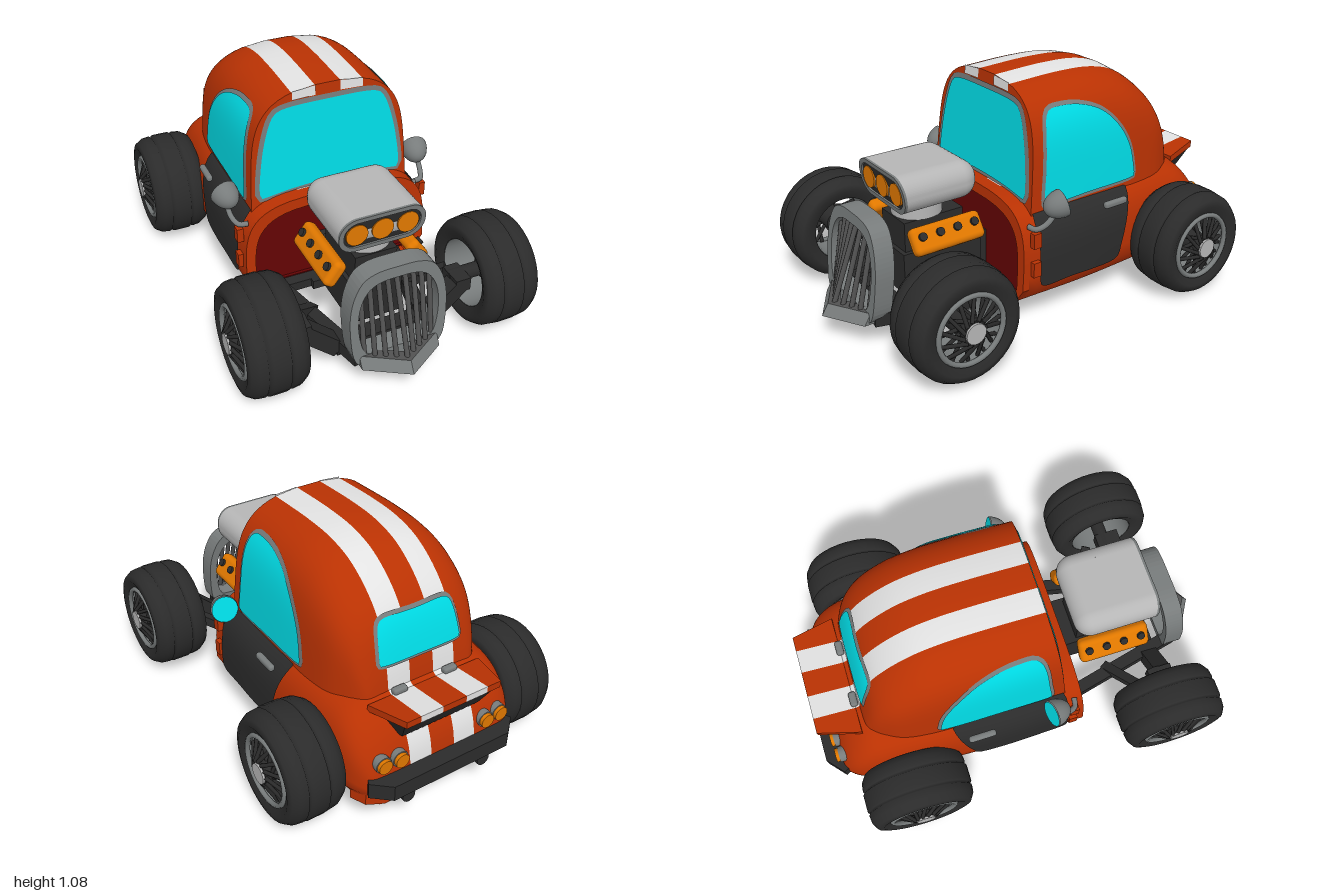
import * as THREE from 'three';
import { RoundedBoxGeometry } from 'three/addons/geometries/RoundedBoxGeometry.js';

const V = (x, y, z) => new THREE.Vector3(x, y, z);
const mat = (name, color, two) => {
  const m = new THREE.MeshStandardMaterial({ color });
  m.name = name;
  if (two) m.side = THREE.DoubleSide;
  return m;
};

export function createModel() {
  const M = {
    paint: mat('orange paint', 0xba3203, true), white: mat('white stripe', 0xe2e2e2, true),
    glass: mat('cyan glass', 0x00dce6, true), black: mat('black', 0x2b2b2b, true),
    red: mat('dark red', 0x640404, true), grey: mat('grey metal', 0x787c7c, true),
    light: mat('light metal', 0xb6b6b6), amber: mat('amber', 0xe07800), dark: mat('dark metal', 0x525252),
  };
  const car = new THREE.Group();
  car.name = 'hotRod';
  const add = (name, geo, m, parent = car) => {
    const mesh = new THREE.Mesh(geo, m);
    mesh.name = name;
    parent.add(mesh);
    return mesh;
  };
  const box = (name, x, y, z, w, h, d, m) => add(name, new THREE.BoxGeometry(w, h, d), m).position.set(x, y, z);
  const rod = (name, a, b, r, m, parent, sides = 8) => {
    const mesh = add(name, new THREE.CylinderGeometry(r, r, a.distanceTo(b), sides), m, parent);
    mesh.position.copy(a).lerp(b, 0.5);
    mesh.quaternion.setFromUnitVectors(V(0, 1, 0), b.clone().sub(a).normalize());
  };
  const beam = (name, a, b, w, h, m) => {
    const mesh = add(name, new THREE.BoxGeometry(w, h, a.distanceTo(b)), m);
    mesh.position.copy(a).lerp(b, 0.5);
    mesh.lookAt(b);
  };
  const poly = (pts) => new THREE.Shape(pts.map(([x, y]) => new THREE.Vector2(x, y)));
  const extrude = (shape, depth) => new THREE.ExtrudeGeometry(shape, { depth, bevelEnabled: false, curveSegments: 10 });
  // Outline in x and z, raised from y by height
  const plan = (pts, y, height) => extrude(poly(pts.map(([x, z]) => [x, -z])), height).rotateX(-Math.PI / 2).translate(0, y, 0);
  const shift = (geo, fn) => {
    const p = geo.attributes.position;
    for (let i = 0; i < p.count; i++) p.setXYZ(i, ...fn(p.getX(i), p.getY(i), p.getZ(i)));
    geo.computeVertexNormals();
    return geo;
  };
  const smooth = (pts, n = 72) => new THREE.CatmullRomCurve3(pts.map(([x, y]) => V(x, y, 0)), true).getSpacedPoints(n).slice(0, n).map((p) => [p.x, p.y]);
  const mirrored = (half) => [...half, ...half.slice().reverse().filter(([x]) => x > 0.001).map(([x, y]) => [-x, y])];

  // Domed shell: stations of z, half width, height; superellipse sections (powers n, m) tapered inward by k
  const dome = (stations, base, n, m, k, tuck, shear) => {
    const curve = new THREE.CatmullRomCurve3(stations.map((s) => V(...s)));
    const height = (x, t) => {
      const { y: w, z: h } = curve.getPoint(t);
      let v = 1;
      for (let i = 0; i < 6; i++) v = Math.pow(Math.max(0, 1 - Math.pow(Math.abs(x) / (w * (1 - k * v)), n)), 1 / m);
      return base + (h - base) * v;
    };
    const section = (t) => {
      const { y: w, z: h } = curve.getPoint(t), half = tuck ? [[w - 0.05, base - 0.07]] : [];
      const top = Math.acos(Math.pow(0.17 / w / (1 - k), n / 2));
      for (let i = 0; i <= 16; i++) {
        const a = top * Math.pow(i / 16, 1.5), v = Math.pow(Math.sin(a), 2 / m);
        half.push([w * Math.pow(Math.cos(a), 2 / n) * (1 - k * v), base + (h - base) * v]);
      }
      half.push([0.06, height(0.06, t)]);
      return mirrored(half);
    };
    const solve = (above) => {
      let lo = 0, hi = 1;
      for (let i = 0; i < 30; i++) { const mid = (lo + hi) / 2; if (above(mid)) lo = mid; else hi = mid; }
      return lo;
    };
    return {
      section,
      rearZ: (x, y) => curve.getPoint(solve((t) => t < 0.3 || height(x, t) > y)).x,
      sideX: (z, y) => {
        const { y: w, z: h } = curve.getPoint(solve((t) => curve.getPoint(t).x > z));
        const v = Math.min(1, Math.max(0, (y - base) / (h - base)));
        return w * Math.pow(1 - Math.pow(v, m), 1 / n) * (1 - k * v);
      },
      geometry: () => {
        const N = 48, pos = [], paint = [], stripe = [];
        let cols = 0;
        for (let i = 0; i <= N; i++) {
          const z = curve.getPoint(i / N).x, row = section(i / N);
          cols = row.length;
          row.forEach(([x, y]) => pos.push(x, y, z + shear(y, z)));
        }
        for (let i = 0; i < N; i++) for (let j = 0; j < cols - 1; j++) {
          const a = i * cols + j, b = a + cols, mid = cols / 2 - 1;
          (Math.abs(j - mid) === 1 ? stripe : paint).push(a, b, a + 1, a + 1, b, b + 1);
        }
        const g = new THREE.BufferGeometry();
        g.setAttribute('position', new THREE.Float32BufferAttribute(pos, 3));
        g.setIndex([...paint, ...stripe]);
        g.addGroup(0, paint.length, 0);
        g.addGroup(paint.length, stripe.length, 1);
        g.computeVertexNormals();
        return g;
      },
    };
  };
  // Thin panel laid on a surface
  const panel = (name, outline, project, m, lift = 0.009) => {
    const n = outline.length, K = 10, pos = [], idx = [];
    const cx = outline.reduce((s, p) => s + p[0], 0) / n, cy = outline.reduce((s, p) => s + p[1], 0) / n;
    for (let k = 0; k <= K; k++) outline.forEach(([u, v]) => pos.push(...project(cx + (u - cx) * k / K, cy + (v - cy) * k / K, lift)));
    for (let k = 0; k < K; k++) for (let i = 0; i < n; i++) {
      const a = k * n + i, b = k * n + (i + 1) % n;
      idx.push(a, a + n, b, b, a + n, b + n);
    }
    const g = new THREE.BufferGeometry();
    g.setAttribute('position', new THREE.Float32BufferAttribute(pos, 3));
    g.setIndex(idx);
    g.computeVertexNormals();
    add(name, g, m);
  };
  // Glass over a slightly wider grey trim plate; outlines run counterclockwise when turn is 1
  const pane = (name, outline, project, width, turn) => {
    const n = outline.length;
    const wide = outline.map(([u, v], i) => {
      const a = outline[(i + n - 1) % n], b = outline[(i + 1) % n], l = Math.hypot(b[0] - a[0], b[1] - a[1]);
      return [u + turn * width * (b[1] - a[1]) / l, v - turn * width * (b[0] - a[0]) / l];
    });
    panel(name + 'Trim', wide, project, M.grey, 0.004);
    panel(name, outline, project, M.glass);
  };

  // Body shells
  const slant = (y, z) => (1.08 - y) * 0.08 * Math.min(1, Math.max(0, (z + 0.1) / 0.22));
  const cabin = dome([[0.12, 0.392, 1.07], [-0.15, 0.395, 1.08], [-0.33, 0.395, 1.07], [-0.47, 0.39, 1.03], [-0.6, 0.372, 0.94],
    [-0.68, 0.338, 0.84], [-0.74, 0.295, 0.66], [-0.77, 0.25, 0.48]], 0.48, 2.6, 5.6, 0.08, false, slant);
  const lower = dome([[0.22, 0.455, 0.585], [-0.1, 0.465, 0.585], [-0.4, 0.455, 0.59], [-0.62, 0.44, 0.58], [-0.76, 0.43, 0.55],
    [-0.85, 0.41, 0.47], [-0.91, 0.37, 0.36], [-0.94, 0.32, 0.2]], 0.2, 4, 4, 0, true, () => 0);
  add('cabin', cabin.geometry(), [M.paint, M.white]);
  add('lowerBody', lower.geometry(), [M.paint, M.white]);
  add('rearApron', plan(mirrored([[0.4, -0.83], [0.37, -0.9], [0.3, -0.937]]).concat([[-0.36, -0.83], [-0.28, -0.89], [0.28, -0.89], [0.36, -0.83]]), 0.13, 0.075), M.paint);
  const onFront = (shape, o) => shift(new THREE.ShapeGeometry(shape), (x, y) => [x, y, 0.12 + o + slant(y, 0.12)]);
  add('cabinFront', onFront(poly(cabin.section(0)), 0), M.paint);
  for (const s of [-1, 1]) add('frontStripe', onFront(poly([[s * 0.06, 1.024], [s * 0.17, 1.02], [s * 0.17, 1.06], [s * 0.06, 1.069]]), 0.005), M.white);
  const front = lower.section(0);
  const rim = poly(front);
  rim.holes.push(poly(front.map(([x, y]) => [x * 0.9, 0.13 + (y - 0.13) * 0.89])));
  add('cowlRim', shift(extrude(rim, 0.065), (x, y, z) => [x, y, z + 0.17 + (0.59 - y) * 0.05]), M.paint);
  add('firewall', new THREE.ShapeGeometry(poly(front.map(([x, y]) => [x * 0.98, y * 0.98]))).translate(0, 0, 0.205), M.red);
  add('floor', plan(mirrored([[0.4, 0.22], [0.41, -0.1], [0.39, -0.6], [0.36, -0.85], [0.26, -0.9]]), 0.135, 0.008), M.red);

  // Windows, doors, mirrors
  pane('windshield', smooth(mirrored([[0, 0.603], [0.2, 0.595], [0.32, 0.58], [0.34, 0.58], [0.347, 0.6], [0.332, 0.75], [0.305, 0.87], [0.275, 0.95], [0.25, 0.98], [0.2, 0.993], [0, 0.998]])),
    (x, y, o) => [x, y, 0.12 + o + slant(y, 0.12)], 0.021, 1);
  pane('rearWindow', smooth(mirrored([[0, 0.665], [0.18, 0.665], [0.205, 0.67], [0.205, 0.69], [0.185, 0.825], [0.165, 0.845], [0, 0.85]])),
    (x, y, o) => [x, y, cabin.rearZ(x, y) - o], 0.013, 1);
  const sideGlass = smooth([[0.095, 0.555], [0.095, 0.58], [0.083, 0.7], [0.067, 0.88], [0.052, 0.935], [0.028, 0.96], [-0.04, 0.967], [-0.14, 0.957], [-0.25, 0.915], [-0.345, 0.825], [-0.405, 0.72],
    [-0.433, 0.59], [-0.435, 0.565], [-0.415, 0.56], [-0.15, 0.555], [0.07, 0.548]]);
  const doorLine = smooth([[0.16, 0.21], [0.165, 0.36], [0.16, 0.52], [0.14, 0.535], [-0.1, 0.535], [-0.35, 0.535], [-0.38, 0.53], [-0.375, 0.5], [-0.35, 0.42], [-0.31, 0.28], [-0.29, 0.22], [-0.26, 0.205], [0, 0.205], [0.14, 0.2]]);
  for (const s of [-1, 1]) {
    pane('sideWindow', sideGlass, (z, y, o) => [s * (cabin.sideX(z, y) + o), y, z], 0.015, 1);
    panel('door', doorLine, (z, y, o) => [s * (lower.sideX(z, y) + o), y, z], M.black);
    add('doorHandle', new RoundedBoxGeometry(0.03, 0.032, 0.13, 3, 0.013), M.grey).position.set(s * 0.464, 0.497, -0.26);
    for (const y of [0.3, 0.44]) box('doorHinge', s * 0.462, y, 0.19, 0.03, 0.07, 0.04, M.paint);
    const mirror = new THREE.Group();
    mirror.name = 'mirror';
    add('mirrorShell', new THREE.SphereGeometry(0.064, 20, 10, 0, Math.PI * 2, 0, Math.PI / 2).rotateX(Math.PI / 2).scale(1, 1, 1.45), M.grey, mirror);
    add('mirrorGlass', new THREE.CircleGeometry(0.061, 20).rotateY(Math.PI).translate(0, 0, -0.002), M.glass, mirror);
    mirror.position.set(s * 0.485, 0.594, 0.065);
    mirror.rotation.set(0.25, s * -0.2, 0);
    car.add(mirror);
    const stalk = new THREE.CatmullRomCurve3([V(s * 0.485, 0.56, 0.1), V(s * 0.48, 0.51, 0.15), V(s * 0.46, 0.49, 0.19), V(s * 0.42, 0.49, 0.2)]);
    add('mirrorStalk', new THREE.TubeGeometry(stalk, 12, 0.013, 8), M.grey);
  }

  // Wheels: grooved tyre, open rim, crossed spokes
  const halfTyre = [[0.158, 0.115], [0.2, 0.135], [0.228, 0.127], [0.248, 0.095], [0.252, 0.06], [0.243, 0.054], [0.243, 0.044], [0.255, 0.038]];
  const tyre = [...halfTyre.map(([r, a]) => [r, -a]), ...halfTyre.slice().reverse()].map((p) => new THREE.Vector2(...p));
  for (const s of [-1, 1]) for (const [x, z] of [[0.545, 0.66], [0.56, -0.62]]) {
    const wheel = new THREE.Group();
    wheel.name = z > 0 ? 'frontWheel' : 'rearWheel';
    add('tyre', new THREE.LatheGeometry(tyre, 36), M.black, wheel);
    add('rimBarrel', new THREE.CylinderGeometry(0.157, 0.157, 0.23, 36, 1, true), M.grey, wheel);
    add('rimRing', new THREE.TorusGeometry(0.153, 0.012, 8, 36).rotateX(Math.PI / 2).translate(0, 0.118, 0), M.grey, wheel);
    rod('hub', V(0, 0.06, 0), V(0, 0.155, 0), 0.046, M.light, wheel, 20);
    rod('hubBase', V(0, -0.02, 0), V(0, 0.145, 0), 0.053, M.black, wheel, 20);
    rod('axleStub', V(0, -0.2, 0), V(0, 0.06, 0), 0.035, M.black, wheel, 12);
    for (let i = 0; i < 24; i++) {
      const a = i * Math.PI / 12, b = a + (i % 2 ? 0.5 : -0.5), y = i % 2 ? 0.145 : 0.11;
      rod('spoke', V(0.05 * Math.cos(a), y, 0.05 * Math.sin(a)), V(0.153 * Math.cos(b), 0.09, 0.153 * Math.sin(b)), 0.0095, M.black, wheel, 5);
    }
    wheel.rotation.z = -s * Math.PI / 2;
    wheel.position.set(s * x, z > 0 ? 0.27 : 0.256, z);
    car.add(wheel);
  }

  // Chassis
  for (const s of [-1, 1]) {
    beam('frontRail', V(s * 0.17, 0.14, 0.84), V(s * 0.31, 0.12, 0.22), 0.06, 0.06, M.black);
    beam('sideRail', V(s * 0.3, 0.115, 0.26), V(s * 0.26, 0.115, -0.9), 0.075, 0.045, M.black);
    beam('innerRail', V(s * 0.11, 0.115, 0.3), V(s * 0.11, 0.115, -0.88), 0.075, 0.045, M.black);
    beam('axleDrop', V(s * 0.38, 0.265, 0.7), V(s * 0.22, 0.12, 0.7), 0.08, 0.075, M.black);
    box('axleEnd', s * 0.385, 0.27, 0.68, 0.075, 0.065, 0.12, M.black);
    beam('radiusRod', V(s * 0.4, 0.24, 0.57), V(s * 0.22, 0.13, 0.46), 0.045, 0.045, M.black);
    rod('exhaust', V(s * 0.2, 0.14, -0.6), V(s * 0.2, 0.15, -0.97), 0.032, M.black, car, 14);
  }
  box('frontAxle', 0, 0.12, 0.7, 0.46, 0.06, 0.08, M.black);
  for (const z of [0.24, -0.85]) box('crossMember', 0, 0.115, z, 0.64, 0.045, 0.07, M.black);
  add('fuelTank', new RoundedBoxGeometry(0.46, 0.06, 0.2, 2, 0.02), M.black).position.set(0, 0.125, -0.72);
  rod('rearAxle', V(-0.45, 0.256, -0.62), V(0.45, 0.256, -0.62), 0.035, M.black);

  // Engine with intake scoop
  box('engineBlock', 0, 0.26, 0.45, 0.24, 0.2, 0.4, M.black);
  box('engineTop', 0, 0.42, 0.48, 0.2, 0.16, 0.3, M.black);
  box('gearbox', 0, 0.25, 0.25, 0.2, 0.2, 0.14, M.black);
  for (const s of [-1, 1]) {
    const bank = new THREE.Group();
    bank.name = 'valveCover';
    add('cover', new RoundedBoxGeometry(0.125, 0.065, 0.35, 3, 0.025), M.amber, bank);
    for (let i = 0; i < 4; i++) rod('bolt', V(-s * 0.012, 0.025, -0.13 + i * 0.087), V(-s * 0.012, 0.045, -0.13 + i * 0.087), 0.019, M.black, bank, 12);
    bank.position.set(s * 0.198, 0.45, 0.478);
    bank.rotation.z = -s * 0.95;
    car.add(bank);
  }
  rod('intakeColumn', V(0, 0.5, 0.51), V(0, 0.6, 0.51), 0.115, M.light, car, 28);
  const pill = (w, h) => {
    const sh = new THREE.Shape(), r = h * 0.92, q = Math.PI / 2;
    [[1, 1], [-1, 1], [-1, -1], [1, -1]].forEach(([x, y], k) => sh.absarc(x * (w - r), y * (h - r), r, k * q, (k + 1) * q));
    return sh;
  };
  const lean = (geo, z0) => shift(geo, (x, y, z) => [x, y + 0.657, z + z0 + y * 0.12]);
  add('scoop', new RoundedBoxGeometry(0.4, 0.175, 0.38, 5, 0.08), M.light).position.set(0, 0.657, 0.48);
  add('scoopMouth', lean(extrude(pill(0.2, 0.0875), 0.2), 0.465), M.light);
  const mouth = pill(0.2, 0.0875);
  mouth.holes.push(pill(0.178, 0.066));
  add('scoopRim', lean(extrude(mouth, 0.012), 0.665), M.grey);
  add('scoopPlate', lean(new THREE.ShapeGeometry(pill(0.185, 0.072)), 0.668), M.black);
  for (const x of [-0.118, 0, 0.118]) rod('intakeDisc', V(x, 0.657, 0.66), V(x, 0.657, 0.677), 0.05, M.amber, car, 24);

  // Radiator shell and pointed grille
  const shellShape = poly(smooth(mirrored([[0, 0.122], [0.15, 0.122], [0.185, 0.13], [0.21, 0.165], [0.226, 0.3], [0.222, 0.4], [0.2, 0.48], [0.16, 0.54], [0.1, 0.565], [0, 0.57]])));
  shellShape.holes.push(poly(smooth(mirrored([[0, 0.175], [0.12, 0.175], [0.155, 0.183], [0.17, 0.21], [0.187, 0.3], [0.184, 0.39], [0.165, 0.45], [0.13, 0.495], [0.08, 0.516], [0, 0.52]]))));
  add('radiatorShell', shift(extrude(shellShape, 0.09), (x, y, z) => [x, y, z + 0.735 + (0.57 - y) * 0.1]), M.grey);
  const lip = plan([[-0.185, 0.84], [-0.185, 0.89], [0, 1.0], [0.185, 0.89], [0.185, 0.84], [0, 0.94]], 0.123, 0.052);
  add('radiatorLip', shift(lip, (x, y, z) => [x, y, z - (y - 0.123) * 0.6]), [M.dark, M.grey]);
  for (let i = -4; i <= 4; i++) {
    const x = i * 0.04;
    rod('grilleBar', V(x, 0.53 - x * x * 2.5, 0.8), V(x, 0.15, 0.945 - Math.abs(x) * 0.55), 0.012, M.dark);
  }

  // Rear lid, vent, lights and bumper
  const edges = [[-0.29, -0.24], [-0.17, -0.17], [-0.06, -0.06], [0.06, 0.06], [0.17, 0.17], [0.29, 0.24]];
  for (let i = 0; i < 5; i++) {
    const [a, b] = [edges[i], edges[i + 1]];
    const strip = plan([[a[0], -0.78], [b[0], -0.78], [b[1], -0.975], [a[1], -0.975]], 0.508, 0.032);
    add('rearLid', shift(strip, (x, y, z) => [x, y + (-0.78 - z) * 0.13, z]), i % 2 ? M.white : M.paint);
  }
  const vent = plan([[-0.26, -0.78], [0.26, -0.78], [0.235, -0.955], [-0.235, -0.955]], 0.42, 0.1);
  add('rearVent', shift(vent, (x, y, z) => [x * (y < 0.45 ? 0.85 : 1), y, z < -0.9 && y < 0.45 ? -0.9 : z]), M.black);
  for (const s of [-1, 1]) {
    add('lidHinge', new RoundedBoxGeometry(0.07, 0.03, 0.035, 2, 0.012), M.grey).position.set(s * 0.13, 0.55, -0.78);
    for (const x of [0.225, 0.305]) {
      const z = lower.rearZ(x, 0.335);
      rod('tailLightRim', V(s * x, 0.335, z + 0.04), V(s * x, 0.335, z - 0.016), 0.038, M.grey, car, 18);
      rod('tailLight', V(s * x, 0.335, z), V(s * x, 0.335, z - 0.032), 0.033, M.amber, car, 18);
    }
  }
  add('rearBumper', plan([[-0.38, -0.93], [-0.3, -1.0], [0.3, -1.0], [0.38, -0.93], [0.36, -0.89], [-0.36, -0.89]], 0.2, 0.075), M.black);
  return car;
}
